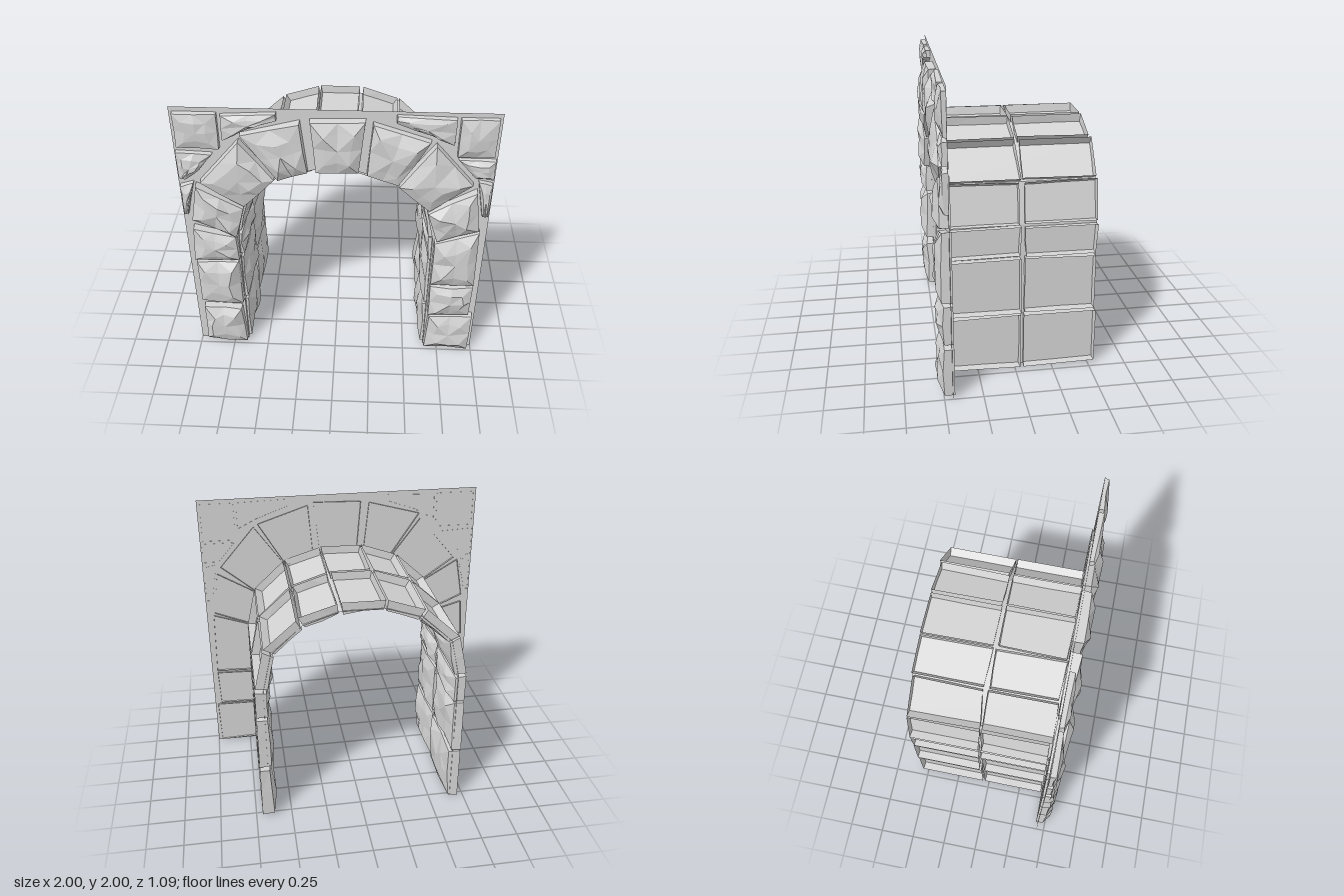
import * as THREE from 'three';

const material = new THREE.MeshStandardMaterial({ color: 0xd4d4d4, side: THREE.DoubleSide, flatShading: true });
material.name = 'grey stone';

// Small seeded noise in -1..1
let seed = 11;
const noise = () => {
  seed = (seed * 16807) % 2147483647;
  return (seed / 2147483647) * 2 - 1;
};

// Rough-hewn shell, open behind: walls follow an outline in (u, v) from h = back to h = rim, then a chipped face
function stone(name, outline, back, rim, bulge, place) {
  if (THREE.ShapeUtils.area(outline.map(p => new THREE.Vector2(...p))) < 0) outline = [...outline].reverse();
  const n = outline.length * 2;
  const cu = outline.reduce((s, p) => s + p[0], 0) / outline.length;
  const cv = outline.reduce((s, p) => s + p[1], 0) / outline.length;
  const edge = [];
  outline.forEach((p, i) => {
    const q = outline[(i + 1) % outline.length];
    edge.push(p, [(p[0] + q[0]) / 2, (p[1] + q[1]) / 2]);
  });
  const ring = (scale, h, wobble, chip) => edge.map(([u, v]) => {
    const s = scale + noise() * wobble;
    return place(cu + (u - cu) * s, cv + (v - cv) * s, h + noise() * chip);
  });
  const rings = [
    ring(1, back, 0, 0),
    ring(0.98, rim, 0.015, bulge * 0.25),
    ring(0.55, rim + bulge * 0.6, 0.12, bulge * 0.35),
  ];
  const pos = [];
  const tri = (...pts) => pts.forEach(p => pos.push(p.x, p.y, p.z));
  const top = place(cu, cv, rim + bulge * 0.75);
  for (let i = 0; i < n; i++) {
    const j = (i + 1) % n;
    for (let r = 0; r < 2; r++) {
      const [a, b, c, d] = [rings[r][i], rings[r][j], rings[r + 1][j], rings[r + 1][i]];
      if (i % 2) { tri(a, b, c); tri(a, c, d); } else { tri(a, b, d); tri(b, c, d); }
    }
    tri(rings[2][i], rings[2][j], top);
  }
  const geo = new THREE.BufferGeometry();
  geo.setAttribute('position', new THREE.Float32BufferAttribute(pos, 3));
  geo.computeVertexNormals();
  const mesh = new THREE.Mesh(geo, material);
  mesh.name = name;
  return mesh;
}

// Opening line, from the foot on the -x side over the crown to the other foot
const half = [[-0.65, 0], [-0.65, 0.405], [-0.65, 0.81], [-0.65, 1.02], [-0.59, 1.29], [-0.385, 1.48], [-0.14, 1.56]];
const path = [...half, ...half.map(([x, y]) => [-x, y]).reverse()];

// Point of the opening line moved inward by h along its mitred joint
const points = path.map(p => new THREE.Vector2(...p));
const normals = points.slice(1).map((p, i) => {
  const t = p.clone().sub(points[i]).normalize();
  return new THREE.Vector2(t.y, -t.x);
});
function joint(i, h) {
  const a = normals[Math.max(i - 1, 0)], b = normals[Math.min(i, normals.length - 1)];
  const m = a.clone().add(b).normalize();
  return points[i].clone().addScaledVector(m, h / m.dot(a));
}

// Stones around the opening
const archStones = [
  [[-0.94, 0.37], [-0.67, 0.36], [-0.65, 0.02], [-0.95, 0.03]],
  [[-0.95, 0.80], [-0.66, 0.80], [-0.65, 0.42], [-0.95, 0.43]],
  [[-0.94, 1.10], [-0.66, 1.02], [-0.65, 0.82], [-0.96, 0.82]],
  [[-0.89, 1.45], [-0.59, 1.27], [-0.65, 1.03], [-0.94, 1.16]],
  [[-0.59, 1.79], [-0.38, 1.51], [-0.59, 1.28], [-0.86, 1.47]],
  [[-0.58, 1.83], [-0.21, 1.93], [-0.17, 1.56], [-0.36, 1.50]],
  [[-0.15, 1.94], [0.19, 1.95], [0.15, 1.57], [-0.12, 1.57]],
  [[0.23, 1.93], [0.59, 1.81], [0.40, 1.49], [0.20, 1.56]],
  [[0.62, 1.79], [0.87, 1.50], [0.61, 1.28], [0.40, 1.48]],
  [[0.90, 1.45], [0.94, 1.14], [0.67, 1.03], [0.60, 1.27]],
  [[0.95, 1.12], [0.96, 0.65], [0.66, 0.64], [0.66, 1.02]],
  [[0.66, 0.62], [0.96, 0.63], [0.95, 0.36], [0.66, 0.355]],
  [[0.67, 0.34], [0.98, 0.345], [0.97, 0.01], [0.65, 0.02]],
];

// Filler stones in the upper corners
const cornerStones = [
  [[-0.98, 1.97], [-0.71, 1.97], [-0.71, 1.72], [-0.98, 1.72]],
  [[-0.69, 1.96], [-0.35, 1.98], [-0.35, 1.93], [-0.55, 1.86], [-0.69, 1.78]],
  [[-0.99, 1.69], [-0.76, 1.68], [-0.86, 1.55], [-0.95, 1.48], [-0.99, 1.49]],
  [[-0.99, 1.43], [-0.90, 1.46], [-0.94, 1.30], [-0.96, 1.20], [-0.99, 1.20]],
  [[0.75, 1.97], [0.98, 1.97], [0.98, 1.70], [0.75, 1.70]],
  [[0.37, 1.98], [0.73, 1.97], [0.73, 1.78], [0.59, 1.85], [0.37, 1.93]],
  [[0.76, 1.68], [0.99, 1.68], [0.99, 1.54], [0.88, 1.54]],
  [[0.90, 1.52], [0.99, 1.50], [0.99, 1.24], [0.95, 1.24]],
];

export function createModel() {
  seed = 11;
  const model = new THREE.Group();
  model.name = 'stone archway';

  // Mortar sheet of the front wall
  const outline = [[-1, 0], [-1, 2], [1, 2], [1, 0], ...[...path].reverse()];
  const wall = new THREE.Mesh(new THREE.ShapeGeometry(new THREE.Shape(outline.map(p => new THREE.Vector2(...p)))), material);
  wall.name = 'frontMortar';
  wall.position.z = 0.445;
  model.add(wall);

  // Front stones
  const front = new THREE.Group();
  front.name = 'frontStones';
  const onFront = (u, v, h) => new THREE.Vector3(u, v, h);
  archStones.forEach(s => front.add(stone('archStone', s, 0.43, 0.493, 0.05, onFront)));
  cornerStones.forEach(s => front.add(stone('cornerStone', s, 0.443, 0.475, 0.03, onFront)));
  model.add(front);

  // Mortar sheet of the vault
  const pos = [], index = [];
  path.forEach(([x, y], i) => {
    pos.push(x, y, 0.445, x, y, -0.54);
    if (i) index.push(2 * i - 2, 2 * i - 1, 2 * i, 2 * i, 2 * i - 1, 2 * i + 1);
  });
  const sheet = new THREE.BufferGeometry();
  sheet.setAttribute('position', new THREE.Float32BufferAttribute(pos, 3));
  sheet.setIndex(index);
  sheet.computeVertexNormals();
  const vaultMortar = new THREE.Mesh(sheet, material);
  vaultMortar.name = 'vaultMortar';
  model.add(vaultMortar);

  // Two rows of wedge-shaped vault stones: rough inside, their walls standing out behind the mortar
  const vault = new THREE.Group();
  vault.name = 'vaultStones';
  for (const [z0, z1] of [[-0.545, -0.05], [-0.045, 0.435]]) {
    for (let i = 0; i < normals.length; i++) {
      const place = (u, v, h) => {
        const p = joint(i, h).lerp(joint(i + 1, h), u);
        return new THREE.Vector3(p.x, p.y, v);
      };
      const gap = 0.01 / points[i].distanceTo(points[i + 1]);
      const e = () => gap * (1 + noise() * 0.7);
      const j = () => Math.abs(noise()) * 0.02;
      const quad = [[e(), z0 + j()], [1 - e(), z0 + j()], [1 - e(), z1 - j()], [e(), z1 - j()]];
      vault.add(stone('vaultStone', quad, -0.056, 0.018, 0.042, place));
    }
  }
  model.add(vault);
  return model;
}
